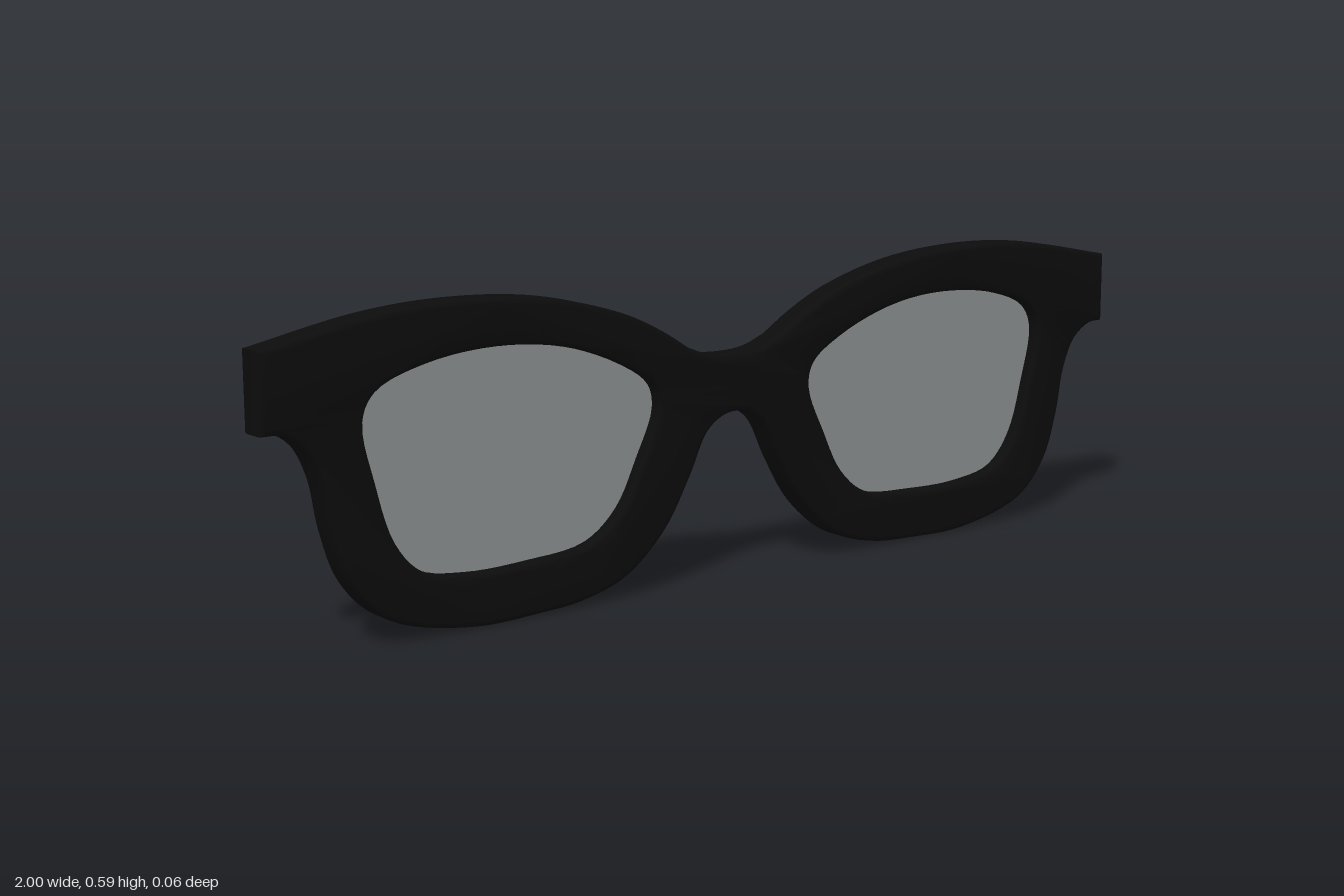
import * as THREE from 'three';
import { toCreasedNormals } from 'three/addons/utils/BufferGeometryUtils.js';

const DEPTH = 0.064;
const BEVEL = 0.01;

// Smooth 2D curve through a list of [x, y] points
function smooth(points, divisions, closed = false) {
  const curve = new THREE.CatmullRomCurve3(
    points.map(([x, y]) => new THREE.Vector3(x, y, 0)), closed, 'centripetal');
  const result = curve.getPoints(divisions).map((p) => new THREE.Vector2(p.x, p.y));
  if (closed) result.pop();
  return result;
}

// Same points seen in a mirror across x = 0, in reverse order
const mirror = (points) => points.map(([x, y]) => [-x, y]).reverse();

// Extrusion centred on z = 0
function slab(shape, depth, bevel) {
  const geometry = new THREE.ExtrudeGeometry(shape, {
    depth: depth - 2 * bevel, bevelEnabled: bevel > 0, bevelThickness: bevel,
    bevelSize: bevel, bevelOffset: -bevel, bevelSegments: 3,
  });
  geometry.translate(0, 0, -(depth - 2 * bevel) / 2);
  return toCreasedNormals(geometry, 0.6);
}

export function createModel() {
  const group = new THREE.Group();
  group.name = 'glassesFront';
  const frameBlack = new THREE.MeshStandardMaterial({ name: 'frameBlack', color: 0x0c0c0c });
  const lensGrey = new THREE.MeshStandardMaterial({ name: 'lensGrey', color: 0x8c9090 });

  // Outline of the frame, from the bridge out to the hinge tab and back underneath
  const bridgeTop = [[-0.11, 0.453], [-0.06, 0.435], [0, 0.43], [0.06, 0.435], [0.11, 0.453]];
  const brow = [[0.11, 0.453], [0.17, 0.49], [0.26, 0.532], [0.42, 0.574],
    [0.6, 0.589], [0.78, 0.58], [1, 0.54]];
  const underHalf = [[1, 0.397], [0.963, 0.394], [0.92, 0.366], [0.89, 0.307], [0.87, 0.21],
    [0.835, 0.115], [0.765, 0.045], [0.6, 0.003], [0.45, 0.003], [0.36, 0.01], [0.26, 0.04],
    [0.17, 0.115], [0.11, 0.21], [0.07, 0.287], [0.035, 0.313]];
  const outline = [
    ...smooth(bridgeTop, 20).slice(0, -1),
    ...smooth(brow, 40),
    ...smooth([...underHalf, [0, 0.32], ...mirror(underHalf)], 180),
    ...smooth(mirror(brow), 40).slice(0, -1),
  ];

  // Lens opening on the +x side
  const opening = [[0.807, 0.4], [0.782, 0.447], [0.685, 0.484], [0.535, 0.5], [0.39, 0.484],
    [0.257, 0.436], [0.192, 0.391], [0.182, 0.345], [0.22, 0.254], [0.267, 0.168],
    [0.337, 0.115], [0.47, 0.1], [0.6, 0.1], [0.695, 0.12], [0.75, 0.18], [0.786, 0.29]];
  const openings = [opening, mirror(opening)].map((points) => smooth(points, 80, true));

  // Frame with two openings and softly rounded edges
  const frameShape = new THREE.Shape(outline);
  frameShape.holes = openings.map((points) => new THREE.Path(points));
  const frame = new THREE.Mesh(slab(frameShape, DEPTH, BEVEL), frameBlack);
  frame.name = 'frame';
  group.add(frame);

  // Thin lenses set midway in the frame
  openings.forEach((points, i) => {
    const lens = new THREE.Mesh(slab(new THREE.Shape(points), 0.008, 0), lensGrey);
    lens.name = i === 0 ? 'leftLens' : 'rightLens';
    group.add(lens);
  });

  return group;
}
